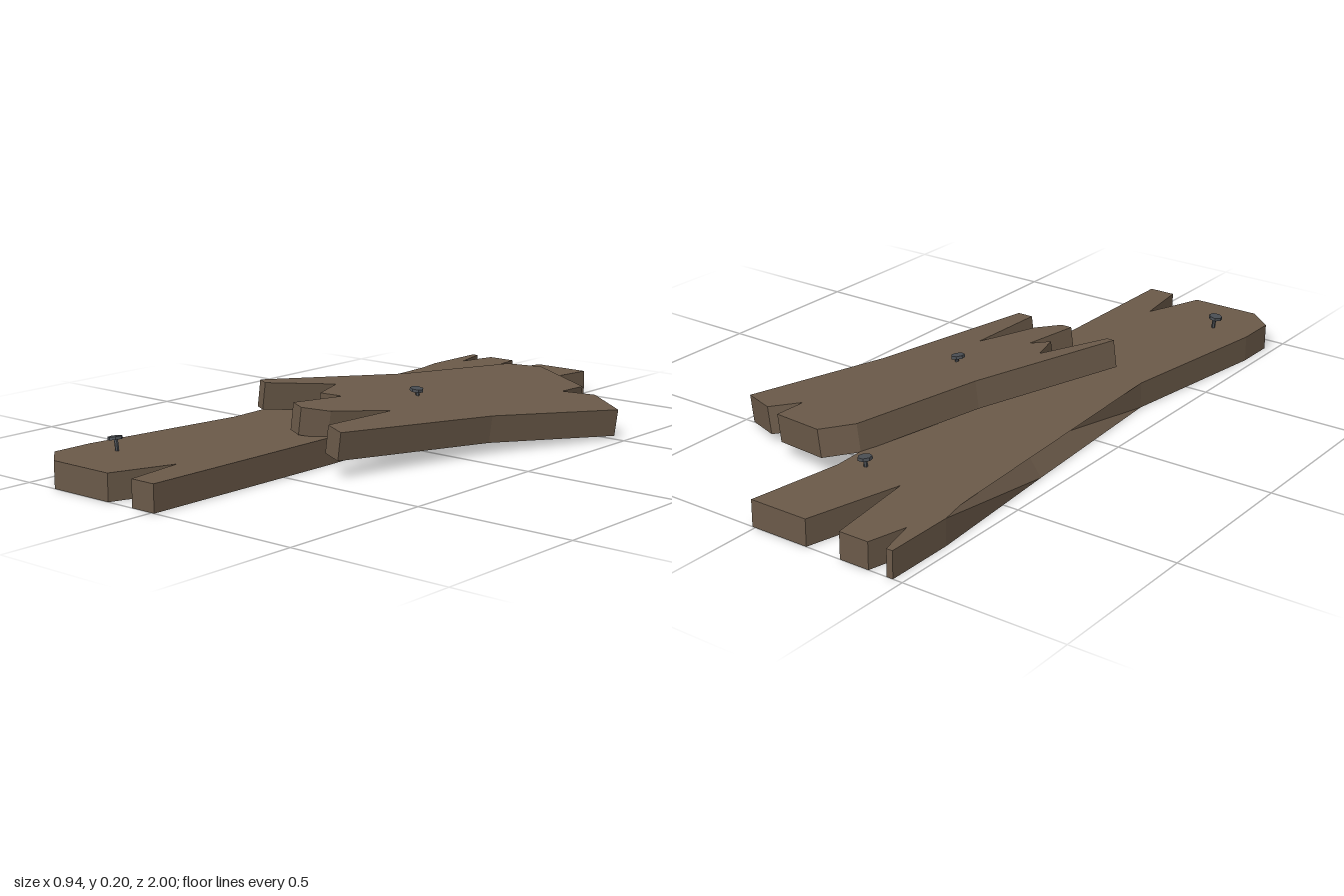
import * as THREE from 'three';

const wood = new THREE.MeshStandardMaterial({ color: 0x6b5a49, flatShading: true });
const iron = new THREE.MeshStandardMaterial({ color: 0x4a4e53, flatShading: true });

// Board cut from an outline of [x, z] points; its top face lies on local y = 0
function makeBoard(name, outline, thickness) {
  const shape = new THREE.Shape(outline.map(([x, z]) => new THREE.Vector2(x, z)));
  const geometry = new THREE.ExtrudeGeometry(shape, { depth: thickness, bevelEnabled: false });
  geometry.rotateX(Math.PI / 2);
  const mesh = new THREE.Mesh(geometry, wood);
  mesh.name = name;
  return mesh;
}

// Bent nail: curved tapering shank with a tilted seven-sided head
function makeNail(name, x, y, z, height, bend, tilt) {
  const nail = new THREE.Group();
  nail.name = name;
  const path = new THREE.QuadraticBezierCurve3(
    new THREE.Vector3(0, -0.02, 0),
    new THREE.Vector3(0, height * 0.7, 0),
    new THREE.Vector3(bend, height, 0)
  );
  const shank = new THREE.Mesh(new THREE.TubeGeometry(path, 4, 0.006, 6), iron);
  shank.name = name + 'Shank';
  const head = new THREE.Mesh(new THREE.CylinderGeometry(0.021, 0.022, 0.009, 7), iron);
  head.name = name + 'Head';
  head.position.set(bend, height, 0);
  head.rotation.z = tilt;
  nail.add(shank, head);
  nail.position.set(x, y, z);
  return nail;
}

export function createModel() {
  const model = new THREE.Group();
  model.name = 'brokenPlanks';

  // Long plank lying flat, splintered at both ends
  const lower = makeBoard('lowerPlank', [
    [-0.47, -1], [-0.45, -1], [-0.42, -0.88], [-0.39, -1], [-0.295, -1],
    [-0.255, -0.70], [-0.18, -1], [0.01, -1], [-0.035, -0.70], [-0.03, -0.58],
    [0.01, 0.30], [0.01, 1], [-0.075, 1], [-0.10, 0.81], [-0.17, 1],
    [-0.39, 1], [-0.47, 0.93], [-0.47, 0.80], [-0.40, 0.28], [-0.436, -0.30], [-0.47, -0.78],
  ], 0.081);
  lower.position.y = 0.081;
  // Worn left edge: pull the top corner halfway along it inward
  const p = lower.geometry.attributes.position;
  for (let i = 0; i < p.count; i++) {
    if (p.getY(i) > -0.01 && Math.abs(p.getZ(i) + 0.30) < 0.001 && p.getX(i) < -0.4) p.setX(i, -0.375);
  }
  lower.geometry.computeVertexNormals();
  model.add(lower);

  // Short plank leaning across it, down toward +x
  const lean = 0.144;
  const upper = makeBoard('upperPlank', [
    [-0.31, 0.26], [-0.125, -0.19], [-0.02, -0.60], [0.06, -0.675], [0.265, -0.615],
    [0.26, -0.51], [0.34, -0.575], [0.47, -0.51], [0.295, -0.10], [0.155, 0.42],
    [0.09, 0.40], [0.10, 0.13], [0.01, 0.30], [-0.06, 0.35], [-0.105, 0.335],
    [-0.07, 0.16], [-0.125, 0.195], [-0.16, 0.085], [-0.28, 0.27],
  ].map(([x, z]) => [x / Math.cos(lean), z]), 0.085);
  upper.position.y = 0.16;
  upper.rotation.z = -lean;
  model.add(upper);

  // Nails sticking out of the boards
  model.add(
    makeNail('frontNail', -0.342, 0.081, 0.81, 0.037, -0.007, 0.15),
    makeNail('backNail', -0.105, 0.081, -0.665, 0.026, 0.003, -0.1),
    makeNail('upperNail', 0.046, 0.153, -0.055, 0.018, -0.004, -0.15)
  );
  return model;
}
